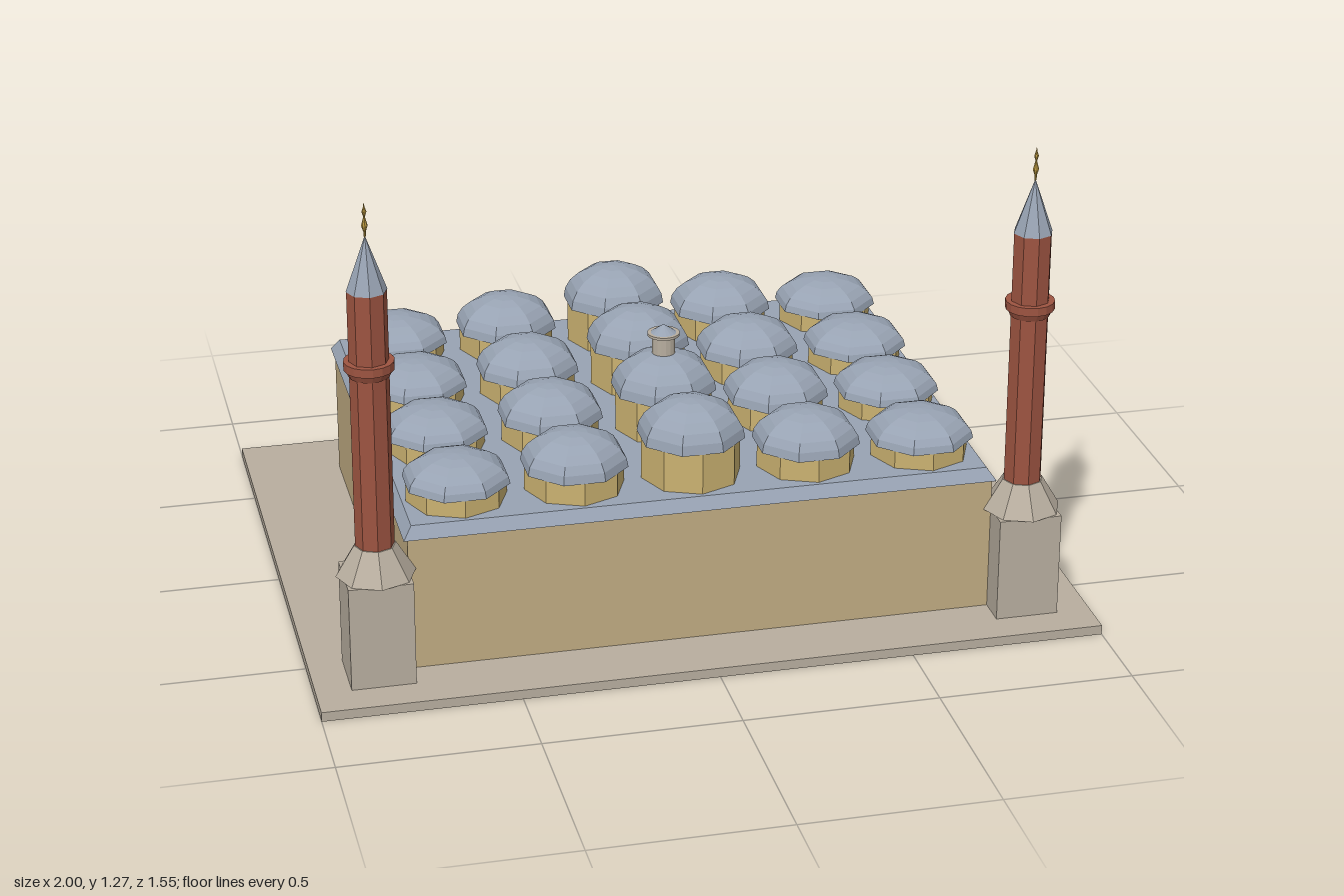
import * as THREE from 'three';

const mat = (name, color) => {
  const m = new THREE.MeshStandardMaterial({ color, flatShading: true });
  m.name = name;
  return m;
};

export function createModel() {
  const root = new THREE.Group();
  root.name = 'domedHall';

  const stone = mat('pale stone', 0xb8ae9f);
  const wall = mat('sandstone wall', 0xc0ab82);
  const drumTan = mat('ochre drum', 0xcbb271);
  const lead = mat('lead grey', 0x98a3b3);
  const brick = mat('red brick', 0x9d5441);
  const gold = mat('gold', 0xb8963f);

  const add = (parent, name, geometry, material, x = 0, y = 0, z = 0) => {
    const m = new THREE.Mesh(geometry, material);
    m.name = name;
    m.position.set(x, y, z);
    parent.add(m);
    return m;
  };
  // Boxes and cylinders placed by their bottom and top heights
  const box = (parent, name, w, d, y0, y1, material) =>
    add(parent, name, new THREE.BoxGeometry(w, y1 - y0, d), material, 0, (y0 + y1) / 2, 0);
  const cyl = (parent, name, rBottom, rTop, y0, y1, sides, material) =>
    add(parent, name, new THREE.CylinderGeometry(rTop, rBottom, y1 - y0, sides), material, 0, (y0 + y1) / 2, 0);

  // Ground slab and hall
  box(root, 'groundSlab', 2, 1.55, 0, 0.025, stone);
  box(root, 'hallWalls', 1.5, 1.2, 0.025, 0.38, wall);

  // Flat roof with edges sloping inwards
  const roof = box(root, 'roof', 1.52, 1.215, 0.38, 0.412, lead);
  const p = roof.geometry.attributes.position;
  for (let i = 0; i < p.count; i++) {
    if (p.getY(i) > 0) {
      p.setX(i, Math.sign(p.getX(i)) * 0.738);
      p.setZ(i, Math.sign(p.getZ(i)) * 0.588);
    }
  }
  roof.geometry.computeVertexNormals();

  // Grid of domes, highest along the middle column
  const columns = [
    { x: -0.6, spring: 0.458, top: 0.53 },
    { x: -0.3, spring: 0.472, top: 0.56 },
    { x: 0, spring: 0.52, top: 0.62 },
    { x: 0.3, spring: 0.472, top: 0.56 },
    { x: 0.6, spring: 0.458, top: 0.53 },
  ];
  for (const c of columns) {
    for (const z of [-0.45, -0.15, 0.15, 0.45]) {
      const bay = new THREE.Group();
      bay.name = 'domeBay';
      bay.position.set(c.x, 0, z);
      root.add(bay);
      cyl(bay, 'drum', 0.128, 0.128, 0.405, c.spring, 8, drumTan);
      const geo = new THREE.SphereGeometry(0.138, 8, 6, 0, Math.PI * 2, 0, Math.PI / 2);
      const dome = add(bay, 'dome', geo, lead, 0, c.spring, 0);
      dome.scale.y = (c.top - c.spring) / 0.138;
      dome.rotation.y = Math.PI / 8;
      // Underside of the dome's eaves
      const eaves = add(bay, 'domeEaves', new THREE.CircleGeometry(0.138, 8, Math.PI / 8), lead, 0, c.spring, 0);
      eaves.rotation.x = Math.PI / 2;
    }
  }

  // Lantern on one middle dome
  const lantern = new THREE.Group();
  lantern.name = 'lantern';
  lantern.position.z = 0.15;
  root.add(lantern);
  cyl(lantern, 'lanternShaft', 0.03, 0.03, 0.6, 0.666, 16, stone);
  cyl(lantern, 'lanternRim', 0.042, 0.042, 0.666, 0.673, 16, stone);
  cyl(lantern, 'lanternCap', 0.033, 0, 0.673, 0.695, 16, lead);

  // Pair of towers at the front corners
  for (const side of [-1, 1]) {
    const tower = new THREE.Group();
    tower.name = side > 0 ? 'leftTower' : 'rightTower';
    tower.position.set(side * 0.83, 0, 0.6);
    root.add(tower);
    box(tower, 'towerBase', 0.162, 0.162, 0.025, 0.3, stone);
    cyl(tower, 'towerShoulder', 0.1, 0.052, 0.3, 0.38, 8, stone);
    cyl(tower, 'towerShaft', 0.049, 0.049, 0.375, 1.05, 8, brick);
    cyl(tower, 'balconyCorbel', 0.05, 0.058, 0.83, 0.848, 16, brick);
    cyl(tower, 'balconyRail', 0.062, 0.062, 0.848, 0.87, 16, brick);
    cyl(tower, 'spire', 0.05, 0, 1.05, 1.19, 8, lead);
    // Finial: a thin rod with two tapering beads
    const profile = [[0, 1.18], [0.003, 1.19], [0.003, 1.2], [0.008, 1.215], [0.002, 1.237],
      [0.006, 1.25], [0.002, 1.262], [0, 1.275]].map(([r, y]) => new THREE.Vector2(r, y));
    add(tower, 'finial', new THREE.LatheGeometry(profile, 8), gold);
  }
  return root;
}
